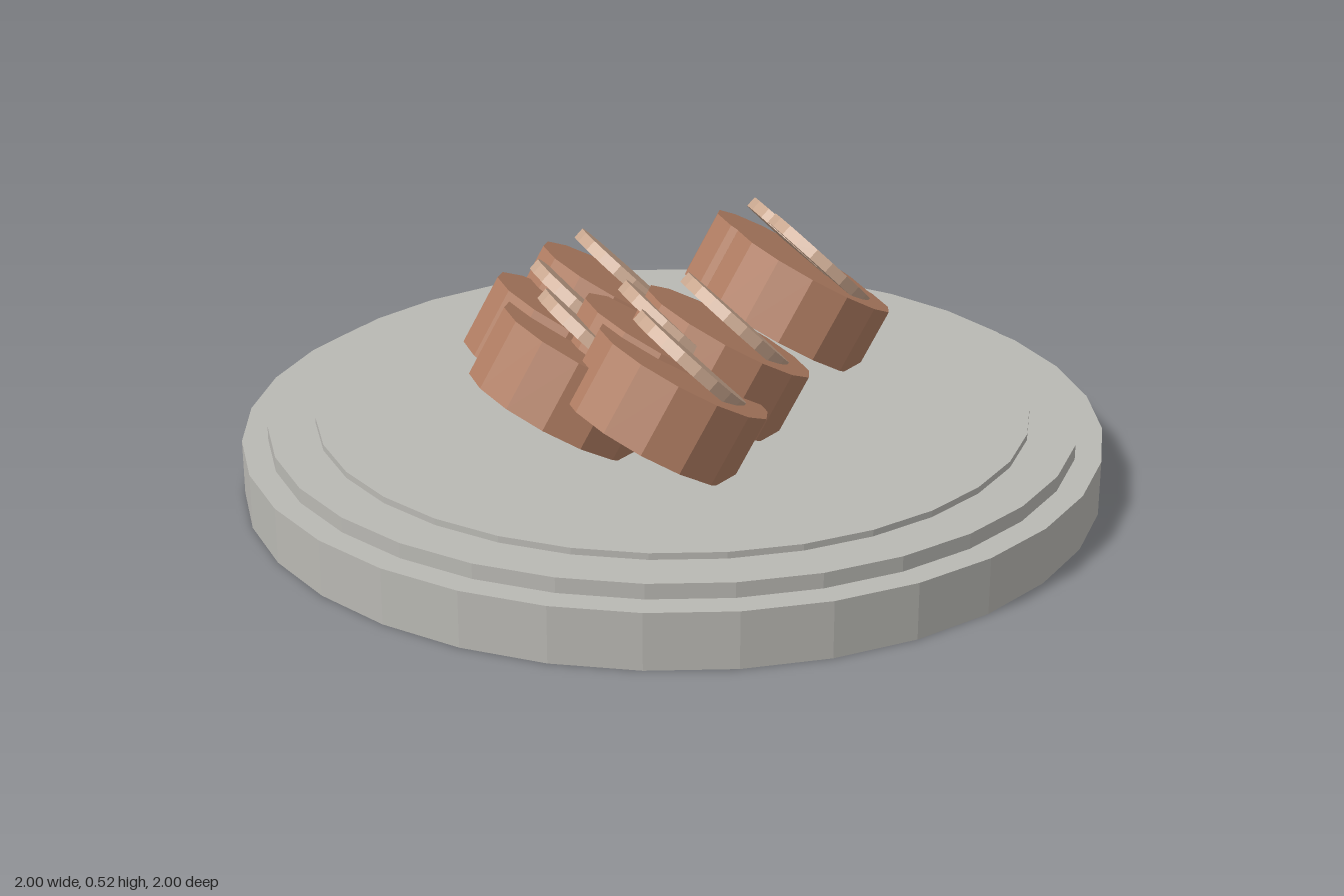
import * as THREE from 'three';

const copper = new THREE.MeshStandardMaterial({ color: 0xb07d62, flatShading: true });
copper.name = 'copper';
const paleCopper = new THREE.MeshStandardMaterial({ color: 0xc8a68e, flatShading: true });
paleCopper.name = 'pale copper';
const stone = new THREE.MeshStandardMaterial({ color: 0xb9b8b3, flatShading: true });
stone.name = 'stone grey';

function disc(name, radius, height, sides, material) {
  const mesh = new THREE.Mesh(new THREE.CylinderGeometry(radius, radius, height, sides), material);
  mesh.name = name;
  return mesh;
}

// Leaning tin with a lid that is propped open at a steeper angle
function makeTin(x, z) {
  const tin = new THREE.Group();
  tin.name = 'tin';
  const body = disc('tinBody', 0.212, 0.17, 14, copper);
  body.rotation.z = -Math.PI / 6;
  const lid = disc('tinLid', 0.155, 0.028, 20, paleCopper);
  lid.position.set(0.055, 0.095, 0);
  lid.rotation.z = -Math.PI / 4;
  tin.add(body, lid);
  tin.position.set(x, 0.31, z);
  return tin;
}

export function createModel() {
  const model = new THREE.Group();
  model.name = 'tinsOnPlate';

  // Stepped round plate: radius, bottom, top
  const steps = [
    ['plateBase', 1, 0, 0.13],
    ['plateStep', 0.94, 0.13, 0.165],
    ['plateTop', 0.83, 0.165, 0.18],
  ];
  for (const [name, radius, y0, y1] of steps) {
    const step = disc(name, radius, y1 - y0, 32, stone);
    step.position.y = (y0 + y1) / 2;
    model.add(step);
  }

  // Pile of tins: x, z
  const spots = [
    [0.385, -0.335], [0.388, -0.2],
    [-0.087, -0.245], [-0.248, -0.07], [-0.287, 0.125],
    [-0.127, 0.322], [-0.1, 0.13], [0.05, 0.127],
  ];
  for (const [x, z] of spots) model.add(makeTin(x, z));

  return model;
}
